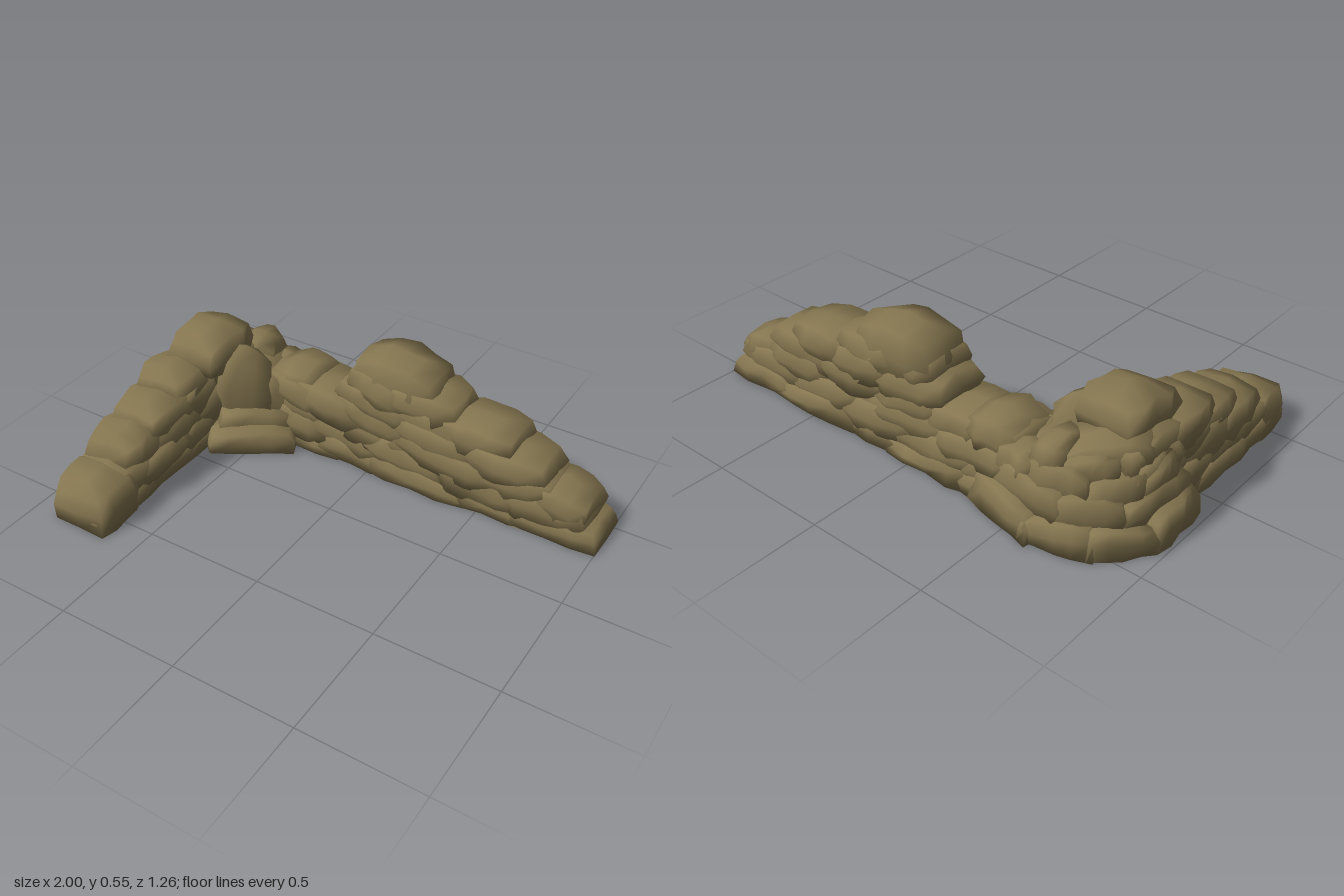
import * as THREE from 'three';
import { mergeVertices } from 'three/addons/utils/BufferGeometryUtils.js';

export function createModel() {
  const model = new THREE.Group();
  model.name = 'rockWall';
  const rock = new THREE.MeshStandardMaterial({ color: 0x857650 });
  rock.name = 'brown stone';

  let seed = 7;
  const jitter = (a) => {
    seed = (seed * 16807) % 2147483647;
    return (seed / 2147483647 - 0.5) * 2 * a;
  };

  // One worn stone lying from (x0,z0) to (x1,z1), between two heights
  function stone(parent, name, x0, z0, x1, z1, y0, y1, width, tilt = 0) {
    const length = Math.hypot(x1 - x0, z1 - z0);
    let geo = new THREE.BoxGeometry(2, 2, 2, 4, 2, 2);
    geo.deleteAttribute('uv');
    geo.deleteAttribute('normal');
    geo = mergeVertices(geo);
    const p = geo.attributes.position;
    const dx = (x1 - x0) / length, dz = (z1 - z0) / length;
    const grounded = y0 < 0.03;
    for (let i = 0; i < p.count; i++) {
      const u = p.getX(i), v = p.getY(i), w = p.getZ(i);
      const foot = grounded && v < 0;
      const edge = Math.abs(v * w);
      // ends taper, long edges are worn off, footings stay broad
      const taper = 1 - (foot ? 0.1 : 0.17) * u ** 4;
      const along = u * (1 - (foot ? 0 : 0.12 * Math.abs(v))) * length / 2 + jitter(0.01);
      const across = w * taper * (1 - (foot ? 0.02 : 0.09) * edge) * width / 2 + jitter(0.01);
      const y = (y0 + y1) / 2 + v * (1 - 0.3 * u * u) * (1 - 0.2 * edge) * (y1 - y0) / 2
        + tilt * u + jitter(0.007);
      p.setXYZ(i, (x0 + x1) / 2 + dx * along - dz * across, foot ? 0.008 : Math.max(y, 0.015),
        (z0 + z1) / 2 + dz * along + dx * across);
    }
    geo.computeVertexNormals();
    const mesh = new THREE.Mesh(geo, rock);
    mesh.name = name;
    parent.add(mesh);
  }

  function section(name) {
    const g = new THREE.Group();
    g.name = name;
    model.add(g);
    return g;
  }

  // Long arm: courses of [bottom, top, joints along x]
  const longArm = section('longArm');
  [
    [0, 0.11, [-0.55, -0.22, 0.05, 0.38, 0.68, 1.0]],
    [0.03, 0.205, [-0.5, -0.28, 0.02, 0.32, 0.64, 0.95]],
    [0.1, 0.27, [-0.52, -0.15, 0.2, 0.5, 0.81]],
    [0.16, 0.335, [-0.5, -0.3, -0.1, 0.14, 0.44, 0.77]],
    [0.23, 0.405, [-0.17, 0.14, 0.38, 0.625]],
    [0.3, 0.465, [-0.11, 0.1, 0.38]],
  ].forEach(([y0, y1, xs], c) => {
    for (let i = 0; i + 1 < xs.length; i++) {
      const z = -0.415 + jitter(0.008);
      const last = i + 2 === xs.length;
      stone(longArm, 'longArmStone', xs[i] - (i ? 0.08 : 0), z,
        xs[i + 1] + (last ? 0 : 0.07), z + jitter(0.01),
        y0, y1, 0.268 - c * 0.004, last ? 0 : -0.025);
    }
  });
  stone(longArm, 'longArmPeak', -0.1, -0.42, 0.28, -0.42, 0.26, 0.565, 0.235, -0.008);
  stone(longArm, 'saddleStone', -0.49, -0.42, -0.27, -0.42, 0.2, 0.365, 0.25);
  stone(longArm, 'endCap', 0.69, -0.41, 0.95, -0.41, 0.07, 0.24, 0.24, -0.018);

  // Short arm: courses of [bottom, top, joints along z]
  const shortArm = section('shortArm');
  [
    [0, 0.11, [0.61, 0.3, 0.02, -0.3]],
    [0.04, 0.2, [0.5, 0.3, 0.06, -0.18, -0.4]],
    [0.1, 0.29, [0.41, 0.18, -0.08, -0.36]],
    [0.18, 0.35, [0.25, 0.02, -0.16, -0.4]],
    [0.24, 0.41, [0.08, -0.14, -0.42]],
  ].forEach(([y0, y1, zs], c) => {
    for (let i = 0; i + 1 < zs.length; i++) {
      const x = -0.785 + jitter(0.008);
      stone(shortArm, 'shortArmStone', x, zs[i] + (i ? 0.07 : 0),
        x + jitter(0.01), zs[i + 1] - (i + 2 < zs.length ? 0.07 : 0), y0, y1, 0.262 - c * 0.003);
    }
  });
  stone(shortArm, 'frontEndStone', -0.765, 0.625, -0.78, 0.36, 0, 0.2, 0.27, 0.015);
  stone(shortArm, 'shortArmPeak', -0.735, -0.08, -0.73, -0.38, 0.32, 0.512, 0.25, 0.01);

  // Outer corner: rings of stones with staggered joints, stepping inwards as they rise
  const corner = section('outerCorner');
  const bend = new THREE.CatmullRomCurve3([[-0.89, -0.14], [-0.905, -0.34], [-0.79, -0.49],
    [-0.6, -0.54], [-0.36, -0.485]].map(([x, z]) => new THREE.Vector3(x, 0, z)));
  [
    [0, 0.15, [0, 0.26, 0.5, 0.76, 1]],
    [0.06, 0.25, [0.02, 0.38, 0.64, 0.97]],
    [0.14, 0.33, [0.04, 0.28, 0.52, 0.78, 0.96]],
    [0.22, 0.385, [0.04, 0.38, 0.62, 0.8]],
  ].forEach(([y0, y1, ts], c) => {
    const k = 1 - c * 0.08;
    for (let i = 0; i + 1 < ts.length; i++) {
      const [a, b] = [ts[i], ts[i + 1]].map((t) => {
        const q = bend.getPoint(t);
        return [-0.6 + (q.x + 0.6) * k, -0.25 + (q.z + 0.25) * k];
      });
      const mx = (b[0] - a[0]) * 0.16, mz = (b[1] - a[1]) * 0.16;
      stone(corner, 'cornerStone', a[0] - mx, a[1] - mz, b[0] + mx, b[1] + mz,
        y0, y1 + jitter(0.015), 0.17, jitter(0.02));
    }
  });
  // Filling behind the corner ring
  for (let c = 0; c < 3; c++) {
    stone(corner, 'cornerFill', -0.82, -0.27, -0.48, -0.43, c * 0.09, 0.18 + c * 0.08, 0.3);
  }
  stone(corner, 'cornerTop', -0.87, -0.27, -0.64, -0.46, 0.24, 0.415, 0.18, -0.015);

  // Inner corner: diagonal footing and an upright stone
  const inner = section('innerCorner');
  stone(inner, 'footing', -0.67, -0.09, -0.36, -0.29, 0, 0.12, 0.16);
  stone(inner, 'footing', -0.66, -0.16, -0.4, -0.33, 0.03, 0.19, 0.15);
  stone(inner, 'uprightStone', -0.69, -0.21, -0.48, -0.31, 0.04, 0.445, 0.17, -0.02);
  stone(inner, 'leaningStone', -0.57, -0.28, -0.41, -0.37, 0.04, 0.33, 0.15);

  return model;
}
